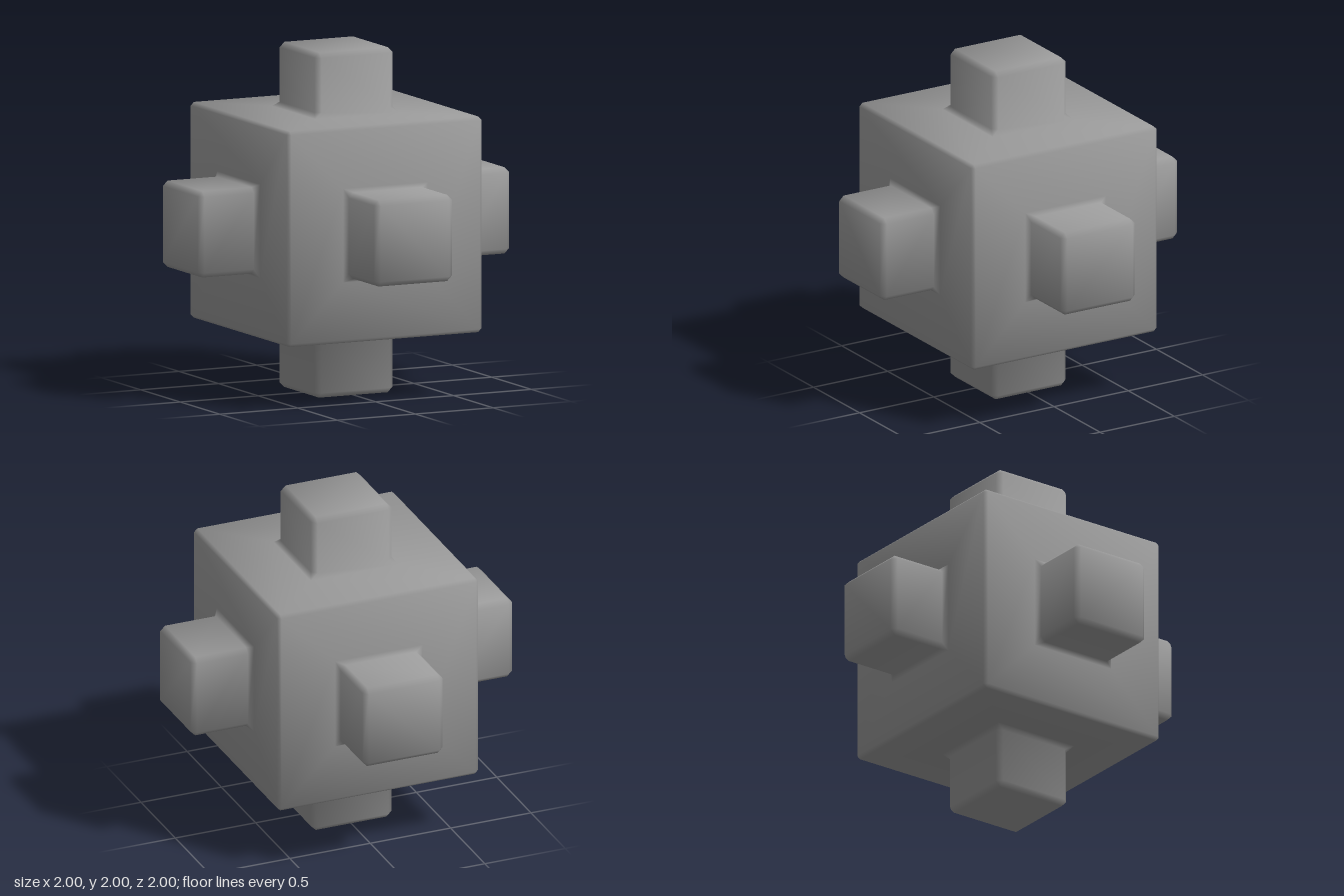
import * as THREE from 'three';
import { mergeVertices } from 'three/addons/utils/BufferGeometryUtils.js';

const BODY = 0.625, BODY_BEVEL = 0.02;
const ARM = 0.25, ARM_BEVEL = 0.03;

// Rings from the arm cap out to the body face: [half width, corner cut, height]
const PROFILE = [
  [ARM - ARM_BEVEL, 0, 1],
  [ARM, ARM_BEVEL, 1 - ARM_BEVEL],
  [ARM, ARM_BEVEL, BODY + ARM_BEVEL],
  [ARM + 0.022, 0, BODY],
  [BODY - BODY_BEVEL, 0, BODY],
];

// Square with cut corners, eight points anticlockwise
function ring([half, cut, height]) {
  const points = [];
  for (let k = 0; k < 4; k++) {
    for (const side of [-1, 1]) {
      let x = half, y = side * (half - cut);
      for (let n = 0; n < k; n++) [x, y] = [-y, x];
      points.push(new THREE.Vector3(x, y, height));
    }
  }
  return points;
}

// Smooth normals weighted by corner angle, so the bevels shade softly into the flat faces
function setSoftNormals(geometry) {
  const position = geometry.attributes.position, index = geometry.index;
  const normals = Array.from({ length: position.count }, () => new THREE.Vector3());
  for (let t = 0; t < index.count; t += 3) {
    const ids = [0, 1, 2].map((k) => index.getX(t + k));
    const p = ids.map((id) => new THREE.Vector3().fromBufferAttribute(position, id));
    const faceNormal = new THREE.Triangle(...p).getNormal(new THREE.Vector3());
    ids.forEach((id, k) => {
      const a = p[(k + 1) % 3].clone().sub(p[k]), b = p[(k + 2) % 3].clone().sub(p[k]);
      normals[id].addScaledVector(faceNormal, a.angleTo(b));
    });
  }
  const values = normals.flatMap((n) => n.normalize().toArray());
  geometry.setAttribute('normal', new THREE.Float32BufferAttribute(values, 3));
}

function createSkin() {
  const positions = [];
  const triangle = (a, b, c) => {
    const area = b.clone().sub(a).cross(c.clone().sub(a)).length();
    if (area > 1e-8) for (const p of [a, b, c]) positions.push(p.x, p.y, p.z);
  };
  const quad = (a, b, c, d) => { triangle(a, b, c); triangle(a, c, d); };
  const axis = (i, s = 1) => new THREE.Vector3().setComponent(i % 3, s);

  // Six identical sides: cap, arm, fillet and body face
  for (let i = 0; i < 3; i++) {
    for (const s of [-1, 1]) {
      const frame = new THREE.Matrix4().makeBasis(axis(i + 1), axis(i + 2, s), axis(i, s));
      const rings = PROFILE.map((p) => ring(p).map((v) => v.applyMatrix4(frame)));
      quad(rings[0][0], rings[0][2], rings[0][4], rings[0][6]);
      for (let r = 0; r + 1 < rings.length; r++) {
        for (let k = 0; k < 8; k++) {
          const n = (k + 1) % 8;
          quad(rings[r][k], rings[r + 1][k], rings[r + 1][n], rings[r][n]);
        }
      }
    }
  }

  // Corner of the body face on axis i
  const corner = (signs, i) => {
    const p = new THREE.Vector3(...signs).multiplyScalar(BODY - BODY_BEVEL);
    return p.setComponent(i, signs[i] * BODY);
  };

  // Twelve bevelled body edges
  for (let i = 0; i < 3; i++) {
    const j = (i + 1) % 3, k = (i + 2) % 3;
    for (const sj of [-1, 1]) for (const sk of [-1, 1]) {
      const low = [0, 0, 0], high = [0, 0, 0];
      low[i] = -1; high[i] = 1;
      low[j] = high[j] = sj;
      low[k] = high[k] = sk;
      const q = [corner(low, j), corner(high, j), corner(high, k), corner(low, k)];
      if (sj * sk > 0) q.reverse();
      quad(...q);
    }
  }

  // Eight small corner facets
  for (const x of [-1, 1]) for (const y of [-1, 1]) for (const z of [-1, 1]) {
    const t = [0, 1, 2].map((i) => corner([x, y, z], i));
    if (x * y * z < 0) t.reverse();
    triangle(...t);
  }

  const geometry = new THREE.BufferGeometry();
  geometry.setAttribute('position', new THREE.Float32BufferAttribute(positions, 3));
  const skin = mergeVertices(geometry, 1e-4);
  setSoftNormals(skin);
  return skin;
}

export function createModel() {
  const group = new THREE.Group();
  group.name = 'sixArmedCube';
  const cube = new THREE.Mesh(createSkin(), new THREE.MeshStandardMaterial({ color: 0x999999 }));
  cube.name = 'cubeWithArms';
  cube.position.y = 1;
  group.add(cube);
  return group;
}
